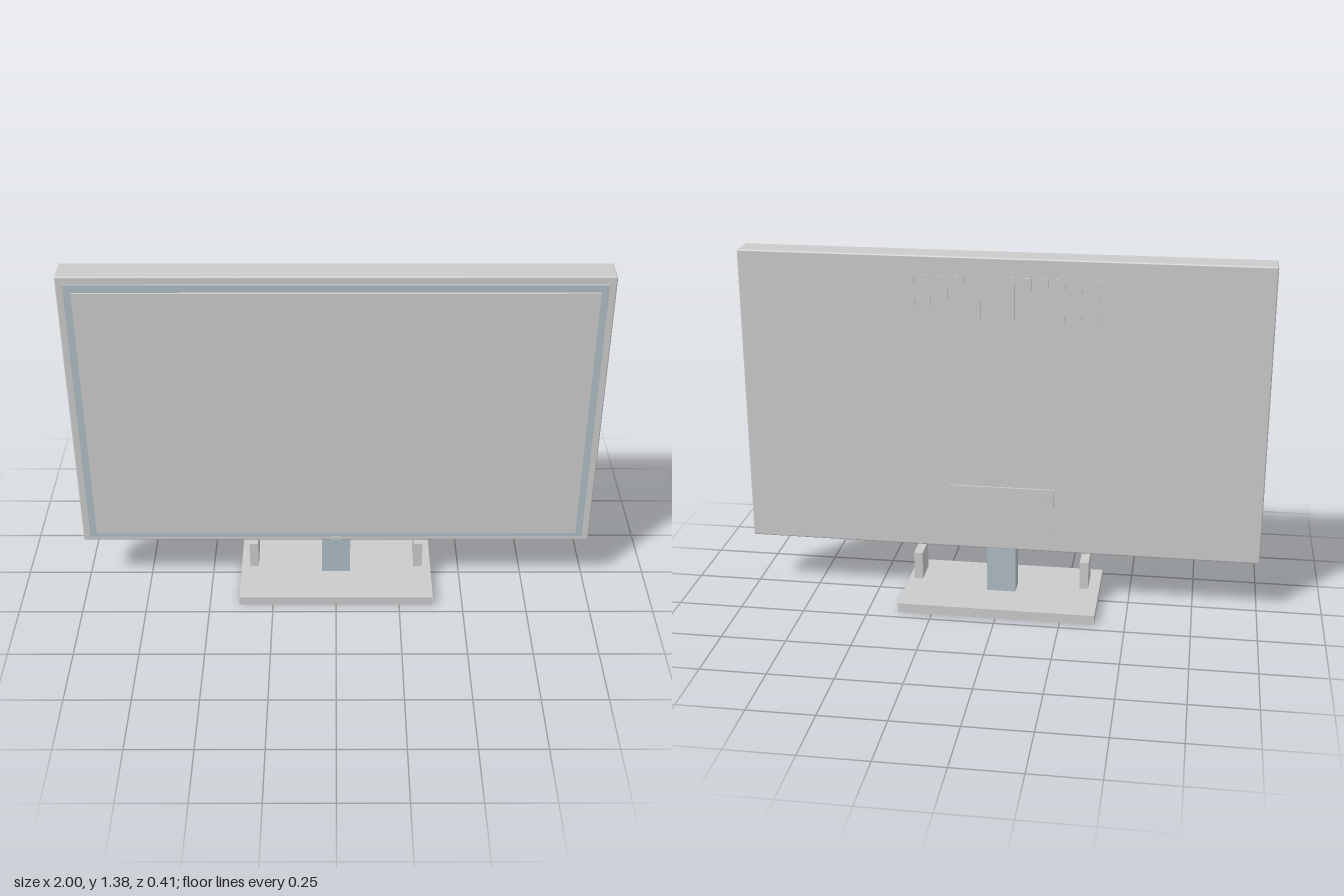
import * as THREE from 'three';
import { RoundedBoxGeometry } from 'three/addons/geometries/RoundedBoxGeometry.js';

export function createModel() {
  const model = new THREE.Group();
  model.name = 'monitor';
  const grey = new THREE.MeshStandardMaterial({ color: 0xcccccc });
  const blueGrey = new THREE.MeshStandardMaterial({ color: 0xb0bec5 });

  const add = (name, geometry, x, y, z, material = grey) => {
    const mesh = new THREE.Mesh(geometry, material);
    mesh.name = name;
    mesh.position.set(x, y, z);
    model.add(mesh);
    return mesh;
  };
  // Box given by its extents on each axis
  const box = (name, [x0, x1], [y0, y1], [z0, z1], material) =>
    add(name, new THREE.BoxGeometry(x1 - x0, y1 - y0, z1 - z0),
      (x0 + x1) / 2, (y0 + y1) / 2, (z0 + z1) / 2, material);

  // Housing with slightly softened edges
  add('housing', new RoundedBoxGeometry(2, 1.163, 0.112, 2, 0.006), 0, 0.8, 0.015);

  // Front layers: bezel, then the screen standing just in front of it
  box('bezel', [-0.97, 0.97], [0.247, 1.355], [0.075, 0.085], blueGrey);
  box('screen', [-0.94, 0.94], [0.275, 1.331], [0.094, 0.103]);
  box('powerLight', [-0.02, 0.02], [0.225, 0.237], [0.068, 0.076]);

  // Stand
  box('base', [-0.383, 0.383], [0, 0.037], [-0.207, 0.207]);
  box('neck', [-0.057, 0.057], [0.037, 0.222], [-0.04, 0.04], blueGrey);
  for (const side of [-1, 1]) {
    const bracket = box('standBracket', [-0.017, 0.017], [0.077, 0.187], [-0.057, 0.057]);
    bracket.position.x = side * 0.328;
  }

  // Row of raised vents near the top of the back
  for (let i = 0; i < 12; i++) {
    const x = (i - 5.5) * 0.0625;
    box('vent', [x - 0.018, x + 0.018], [1.15, 1.31], [-0.044, -0.036]);
  }

  // Rear cover plate with a screw in each corner
  box('rearPlate', [-0.205, 0.205], [0.305, 0.48], [-0.048, -0.036]);
  const screw = new THREE.CylinderGeometry(0.008, 0.008, 0.008, 16).rotateX(Math.PI / 2);
  for (const x of [-0.175, 0.175])
    for (const y of [0.327, 0.458]) add('screw', screw, x, y, -0.048);

  return model;
}
